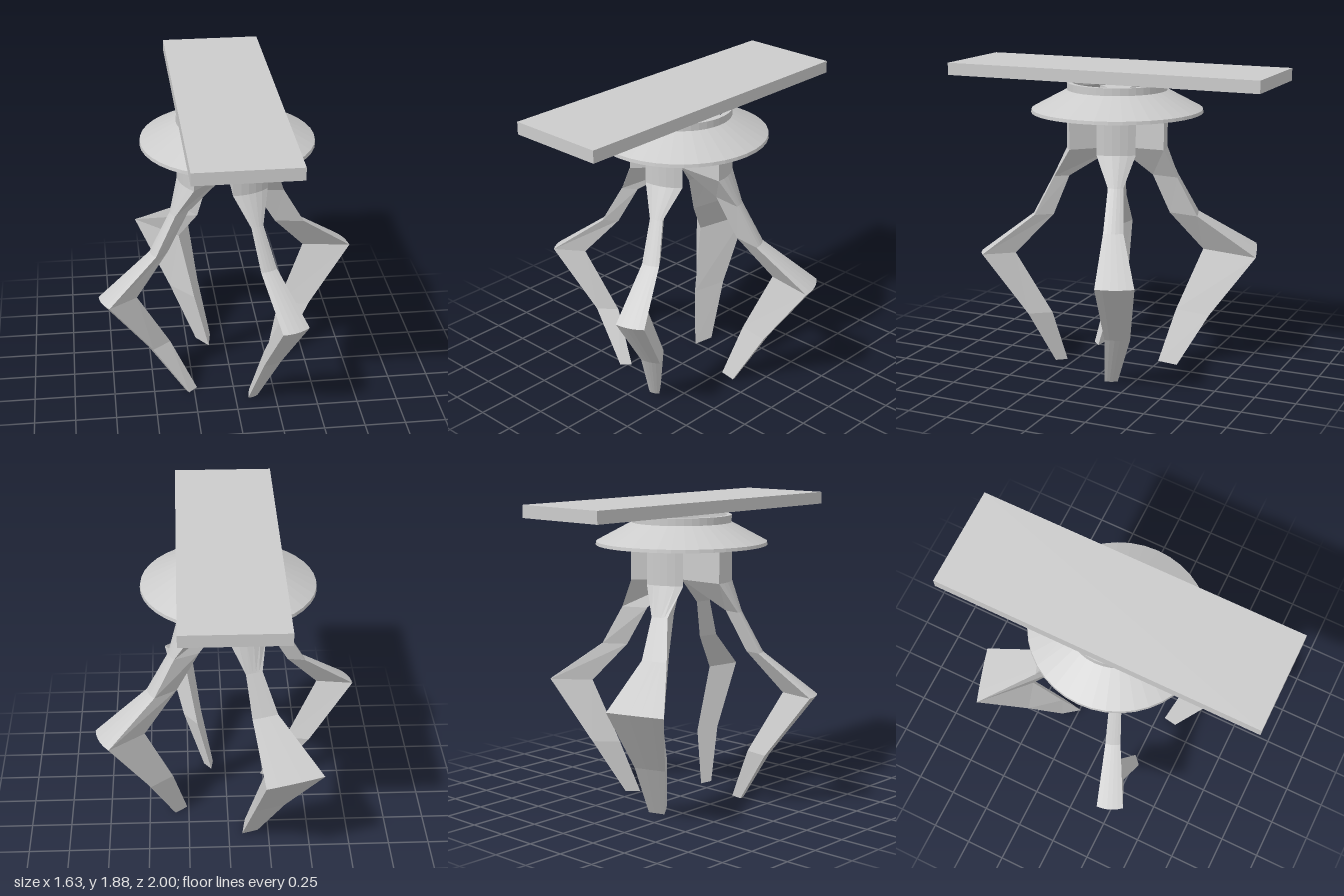
import * as THREE from 'three';

const material = new THREE.MeshStandardMaterial({ color: 0xcccccc, flatShading: true, side: THREE.DoubleSide });
const AXIS_X = -0.01;
const ARC = 5; // facets on the rounded outer side of a claw

// Every claw starts as the same 45 degree sector under the cap
const ROOT = [[1.72, 0, 0.305, 0, 0.216], [1.38, 0, 0.305, 0, 0.216]];

// Cross-sections below the root: [height, inner edge, outer edge, side start, side end]
const CLAWS = [
  { name: 'frontClaw', turn: 0, slope: 0.4, bulge: 0.09, sections: [
    [1.2, 0.27, 0.375, 0.1, 0.175], [0.96, 0.355, 0.49, 0.145, 0.245], [0.715, 0.57, 0.8, 0.235, 0.4],
    [0.33, 0.36, 0.53, 0.165, 0.28], [0, 0.3, 0.385, 0.09, 0.15]] },
  { name: 'rightClaw', turn: -1, slope: 0.4, bulge: 0.09, sections: [
    [1.2, 0.25, 0.36, 0.11, 0.18], [0.96, 0.38, 0.49, 0.15, 0.235], [0.715, 0.58, 0.81, 0.245, 0.395],
    [0.33, 0.38, 0.535, 0.165, 0.275], [0, 0.22, 0.3, 0.22, 0.285]] },
  { name: 'leftClaw', turn: 1, slope: 0.41, bulge: 0.09, sections: [
    [1.2, 0.18, 0.365, 0.1, 0.185], [0.96, 0.32, 0.5, 0.13, 0.24], [0.72, 0.52, 0.82, 0.22, 0.43],
    [0.33, 0.355, 0.55, 0.16, 0.3], [0, 0.27, 0.375, 0.08, 0.155]] },
  { name: 'backClaw', turn: 2, slope: 0.31, bulge: 0.01, sections: [
    [1.2, 0.19, 0.36, 0.09, 0.19], [0.96, 0.285, 0.48, 0.125, 0.28], [0.72, 0.47, 0.84, 0.19, 0.54],
    [0.33, 0.325, 0.56, 0.14, 0.33], [0, 0.24, 0.375, 0.075, 0.175]] },
];

// Wedge-shaped claw lofted through its sections: a sharp inner edge and a curved outer side
function clawGeometry({ sections, slope, bulge }) {
  const positions = [], index = [];
  const levels = [...ROOT, ...sections];
  const n = ARC + 2;
  levels.forEach(([y, inner, outer, v0, v1], level) => {
    const root = level < ROOT.length;
    const width = v1 - v0;
    const drop = root ? 0.39 : slope;
    const sag = (root ? 0.1 : bulge) * width * 4;
    positions.push(v0 + (root ? 0 : 0.22 * width), y, inner);
    for (let i = 0; i <= ARC; i++) {
      const t = i / ARC;
      const out = sag * t * (1 - t);
      positions.push(v0 + width * t + out * drop, y, outer - drop * width * t + out);
    }
  });
  for (let l = 0; l < levels.length - 1; l++) {
    for (let i = 0; i < n; i++) {
      const j = (i + 1) % n;
      const a = l * n + i, b = l * n + j;
      index.push(a + n, b + n, b, a + n, b, a);
    }
  }
  // Closed ends
  const last = (levels.length - 1) * n;
  for (let i = 1; i < n - 1; i++) {
    index.push(0, i, i + 1, last, last + i + 1, last + i);
  }
  const geometry = new THREE.BufferGeometry();
  geometry.setAttribute('position', new THREE.Float32BufferAttribute(positions, 3));
  geometry.setIndex(index);
  geometry.computeVertexNormals();
  return geometry;
}

export function createModel() {
  const group = new THREE.Group();
  group.name = 'ceilingClaw';

  const add = (name, geometry, x, y, z) => {
    const mesh = new THREE.Mesh(geometry, material);
    mesh.name = name;
    mesh.position.set(x, y, z);
    group.add(mesh);
    return mesh;
  };

  // Long flat plate floating over the cap
  add('topPlate', new THREE.BoxGeometry(0.61, 0.075, 2), AXIS_X, 1.84, 0);

  // Hollow flared cap with an open collar
  const profile = [
    [0.505, 1.6], [0.523, 1.6], [0.52, 1.62], [0.305, 1.735], [0.305, 1.78],
    [0.275, 1.78], [0.275, 1.73], [0.505, 1.61], [0.505, 1.6],
  ].map(([r, y]) => new THREE.Vector2(r, y));
  add('flaredCap', new THREE.LatheGeometry(profile, 40), AXIS_X, 0, 0);

  // Four bent claws around the axis
  for (const claw of CLAWS) {
    add(claw.name, clawGeometry(claw), AXIS_X, 0, 0).rotation.y = claw.turn * Math.PI / 2;
  }
  return group;
}
